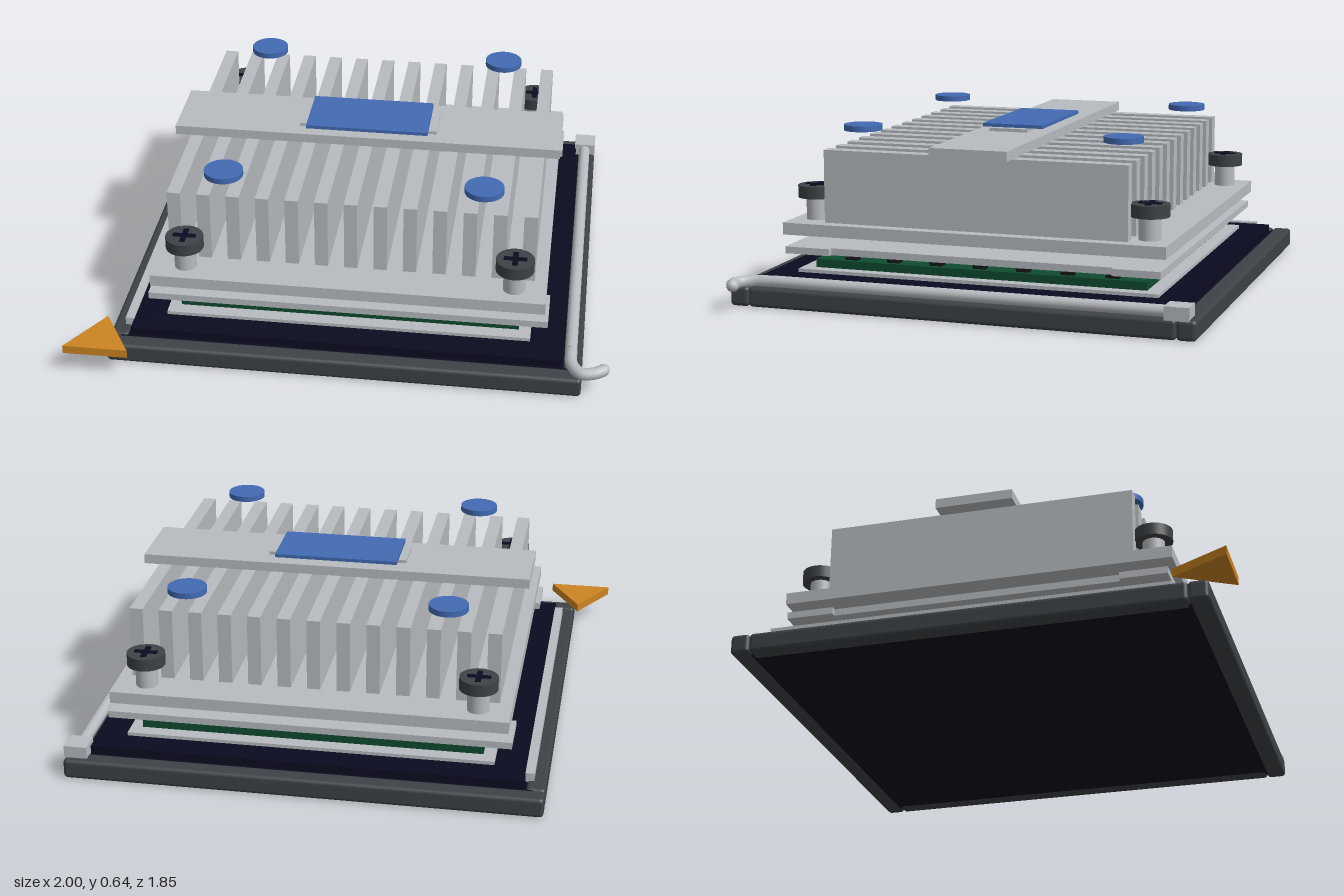
import * as THREE from 'three';
import { RoundedBoxGeometry } from 'three/addons/geometries/RoundedBoxGeometry.js';

const mat = (name, color) => new THREE.MeshStandardMaterial({ name, color });

export function createModel() {
  const metal = mat('brushed metal', 0xb8bcc0);
  const frameGrey = mat('frame grey', 0x3c4246);
  const navy = mat('socket navy', 0x0b0b20);
  const green = mat('board green', 0x0f4a30);
  const blue = mat('label blue', 0x426bb4);
  const orange = mat('marker orange', 0xcc8422);
  const black = mat('component black', 0x14161a);

  const model = new THREE.Group();
  model.name = 'cooledProcessorSocket';
  const cx = 0.0175, cz = -0.046; // centre of the stacked parts

  const add = (name, geometry, material, x = 0, y = 0, z = 0, parent = model) => {
    const mesh = new THREE.Mesh(geometry, material);
    mesh.name = name;
    mesh.position.set(x, y, z);
    parent.add(mesh);
    return mesh;
  };
  // box given by its limits on each axis
  const block = (name, m, x0, x1, y0, y1, z0, z1, round = 0) => {
    const s = [x1 - x0, y1 - y0, z1 - z0];
    const g = round ? new RoundedBoxGeometry(...s, 3, round) : new THREE.BoxGeometry(...s);
    return add(name, g, m, (x0 + x1) / 2, (y0 + y1) / 2, (z0 + z1) / 2);
  };
  // box centred on the stack
  const layer = (name, m, w, d, y0, y1) =>
    block(name, m, cx - w / 2, cx + w / 2, y0, y1, cz - d / 2, cz + d / 2);

  // outer frame
  block('frameBack', frameGrey, -0.862, 0.9, 0, 0.075, -0.925, -0.853, 0.015);
  block('frameFront', frameGrey, -0.862, 0.9, 0, 0.075, 0.763, 0.837, 0.015);
  block('frameRight', frameGrey, -0.862, -0.79, 0, 0.075, -0.853, 0.763, 0.015);
  block('frameLeft', frameGrey, 0.828, 0.9, 0, 0.075, -0.853, 0.763, 0.015);

  // socket body, processor board and lid
  block('socketBase', navy, -0.82, 0.858, 0.004, 0.07, -0.885, 0.795);
  block('socketTop', navy, -0.785, 0.82, 0.07, 0.1, -0.845, 0.755);
  layer('contactPlate', metal, 1.37, 1.39, 0.1, 0.113);
  layer('board', green, 1.28, 1.285, 0.113, 0.144);
  layer('lid', metal, 1.12, 1.12, 0.144, 0.182);

  // small components around the board edge
  for (let i = -3; i <= 3; i++) {
    for (const side of [-1, 1]) {
      add('edgeComponent', new THREE.BoxGeometry(0.05, 0.014, 0.03), black,
        cx + i * 0.169, 0.149, cz + side * 0.605);
      add('edgeComponent', new THREE.BoxGeometry(0.03, 0.014, 0.05), black,
        cx + side * 0.605, 0.149, cz + i * 0.169);
    }
  }

  // retaining plate with wide ends and narrower sides
  block('retainerBack', metal, -0.73, 0.765, 0.182, 0.208, -0.764, -0.587);
  block('retainerFront', metal, -0.73, 0.765, 0.182, 0.208, 0.495, 0.672);
  block('retainerRight', metal, -0.71, -0.52, 0.182, 0.208, -0.587, 0.495);
  block('retainerLeft', metal, 0.555, 0.745, 0.182, 0.208, -0.587, 0.495);

  // heat sink: stepped foot, base, fins and cross bar
  layer('footLower', metal, 0.98, 0.97, 0.182, 0.23);
  layer('footUpper', metal, 1.02, 1.01, 0.23, 0.25);
  layer('heatSinkBase', metal, 1.47, 1.465, 0.25, 0.295);
  const fin = new THREE.BoxGeometry(0.05, 0.275, 1.165);
  for (let i = -6; i <= 6; i++) add('fin', fin, metal, cx + i * 0.1105, 0.4315, cz);
  block('crossBar', metal, -0.73, 0.765, 0.568, 0.605, -0.197, 0.098);
  block('labelPad', metal, -0.25, 0.285, 0.605, 0.617, -0.115, 0.035);
  block('label', blue, -0.22, 0.253, 0.617, 0.63, -0.168, 0.073);

  // blue caps above the fins
  for (const sx of [-1, 1]) for (const sz of [-1, 1])
    add('cap', new THREE.CylinderGeometry(0.073, 0.073, 0.022, 32), blue,
      cx + sx * 0.485, 0.631, cz + sz * 0.509);

  // corner screws with cross slots
  for (const sx of [-1, 1]) for (const sz of [-1, 1]) {
    const screw = new THREE.Group();
    screw.name = 'screw';
    screw.position.set(cx + sx * 0.615, 0, cz + sz * 0.644);
    model.add(screw);
    add('post', new THREE.CylinderGeometry(0.041, 0.041, 0.09, 24), metal, 0, 0.338, 0, screw);
    add('head', new THREE.CylinderGeometry(0.071, 0.071, 0.046, 32), frameGrey, 0, 0.402, 0, screw);
    add('slot', new THREE.BoxGeometry(0.086, 0.006, 0.02), navy, 0, 0.426, 0, screw);
    add('slot', new THREE.BoxGeometry(0.02, 0.006, 0.086), navy, 0, 0.426, 0, screw);
  }

  // side rail, lever and its hinge
  block('sideRail', metal, -0.817, -0.784, 0.07, 0.105, -0.79, 0.7);
  block('leverHinge', metal, 0.815, 0.9, 0.07, 0.12, -0.9, -0.81);
  const straight = new THREE.LineCurve3(
    new THREE.Vector3(0.856, 0.093, -0.85), new THREE.Vector3(0.856, 0.093, 0.68));
  const hook = new THREE.CatmullRomCurve3([
    [0.856, 0.093, 0.68], [0.862, 0.09, 0.76], [0.895, 0.088, 0.807],
    [0.94, 0.09, 0.805], [0.98, 0.095, 0.785]].map(p => new THREE.Vector3(...p)));
  add('leverRod', new THREE.TubeGeometry(straight, 1, 0.023, 14), metal);
  add('leverHook', new THREE.TubeGeometry(hook, 24, 0.023, 14), metal);
  add('leverTip', new THREE.SphereGeometry(0.023, 14, 10), metal, 0.977, 0.095, 0.785);

  // triangular corner markers
  const marker = (name, r, h, x, y, z) =>
    add(name, new THREE.CylinderGeometry(r, r, h, 3, 1, false, Math.PI).toNonIndexed(), orange, x, y, z)
      .geometry.computeVertexNormals();
  marker('cornerMarker', 0.14, 0.032, -0.879, 0.102, 0.855);
  marker('boardMarker', 0.09, 0.02, -0.562, 0.155, 0.535);

  return model;
}
